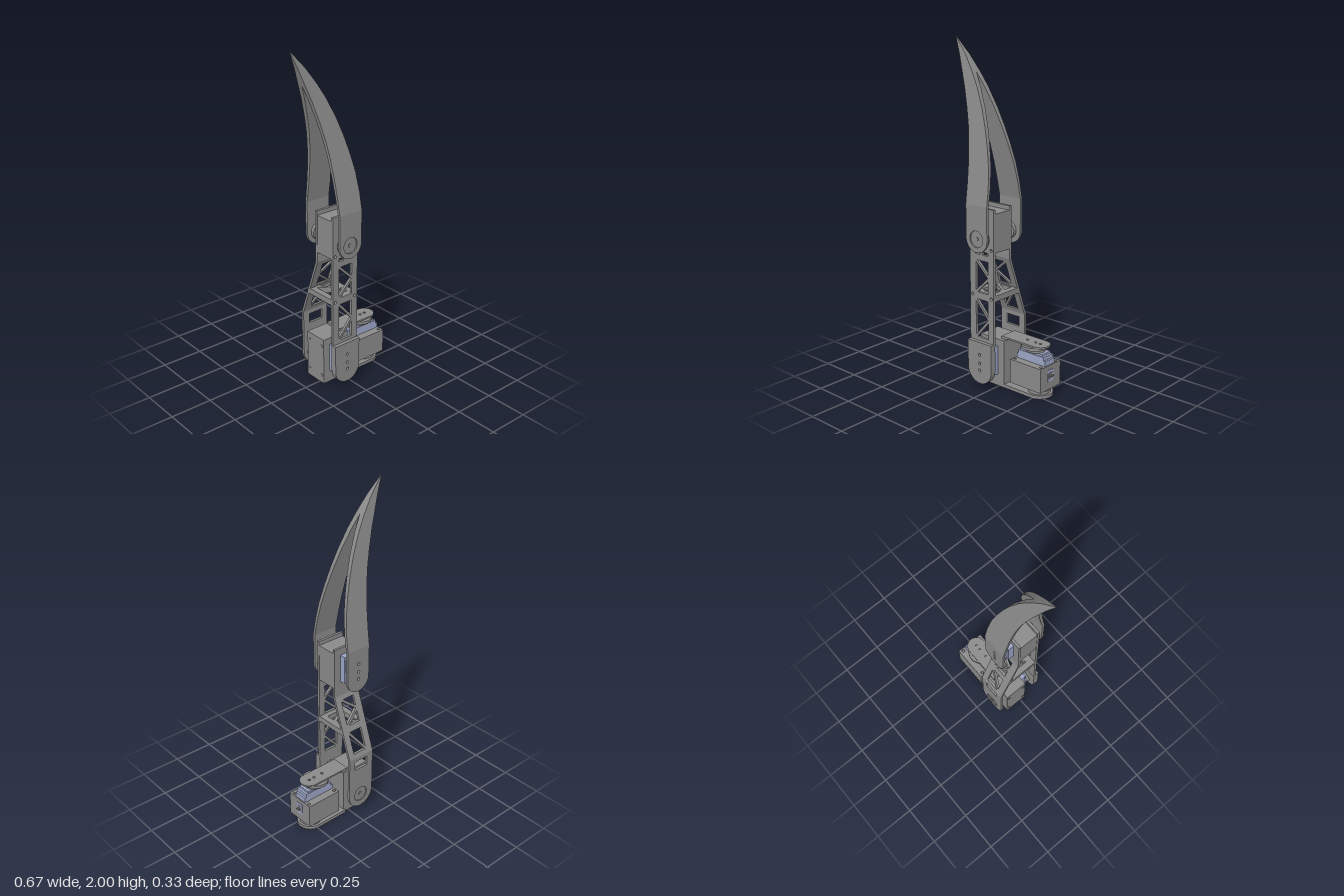
import * as THREE from 'three';
import { toCreasedNormals } from 'three/addons/utils/BufferGeometryUtils.js';

const grey = new THREE.MeshStandardMaterial({ color: 0x8a8a8a });
grey.name = 'printed grey';
const blue = new THREE.MeshStandardMaterial({ color: 0x9ca5c6 });
blue.name = 'servo blue';

const XL = -0.143, XR = 0.036, AX = -0.053; // leg edges and joint axis

export function createModel() {
  const root = new THREE.Group();

  function add(name, geo, mat = grey, parent = root) {
    const m = new THREE.Mesh(geo, mat);
    m.name = name;
    parent.add(m);
    return m;
  }
  // box given by its limits
  function box(name, x0, x1, y0, y1, z0, z1, mat) {
    const g = new THREE.BoxGeometry(x1 - x0, y1 - y0, z1 - z0);
    g.translate((x0 + x1) / 2, (y0 + y1) / 2, (z0 + z1) / 2);
    return add(name, g, mat);
  }
  // disc along z or y
  function discZ(name, x, y, z0, z1, r, mat) {
    const g = new THREE.CylinderGeometry(r, r, z1 - z0, 32).rotateX(Math.PI / 2);
    return add(name, g.translate(x, y, (z0 + z1) / 2), mat);
  }
  function discY(name, x, z, y0, y1, r, mat) {
    return add(name, new THREE.CylinderGeometry(r, r, y1 - y0, 32).translate(x, (y0 + y1) / 2, z), mat);
  }
  const poly = pts => pts.map(p => new THREE.Vector2(...p));
  const rect = (x0, x1, y0, y1) => poly([[x0, y0], [x1, y0], [x1, y1], [x0, y1]]);
  const circle = (x, y, r) => new THREE.Path().absarc(x, y, r, 0, Math.PI * 2, true);
  // plate with a rounded lower end
  function tongue(x0, x1, yEnd, yTop) {
    const r = (x1 - x0) / 2, s = new THREE.Shape();
    s.moveTo(x1, yTop).lineTo(x0, yTop).lineTo(x0, yEnd + r);
    s.absarc(x0 + r, yEnd + r, r, Math.PI, Math.PI * 2, false);
    return s;
  }
  function extrude(shape, holes, z0, z1) {
    shape.holes.push(...holes);
    return new THREE.ExtrudeGeometry(shape, { depth: z1 - z0, bevelEnabled: false, curveSegments: 20 }).translate(0, 0, z0);
  }
  // triangular openings left between zigzag bars
  function truss(x0, x1, y0, y1, n, bar, flip = false) {
    const h = (y1 - y0) / n, a = flip ? x1 : x0, b = flip ? x0 : x1;
    const p = [[b, y0]];
    for (let i = 0; i <= n; i++) p.push([i % 2 ? b : a, y0 + i * h]);
    p.push([n % 2 ? a : b, y1]);
    const holes = [];
    for (let i = 0; i + 2 < p.length; i++) {
      const t = poly(p.slice(i, i + 3));
      const l = [t[1].distanceTo(t[2]), t[0].distanceTo(t[2]), t[0].distanceTo(t[1])];
      const per = l[0] + l[1] + l[2];
      const c = new THREE.Vector2();
      t.forEach((v, k) => c.addScaledVector(v, l[k] / per));
      const area = Math.abs(t[1].clone().sub(t[0]).cross(t[2].clone().sub(t[0]))) / 2;
      const k = 1 - bar / (2 * area / per);
      holes.push(new THREE.Path(t.map(v => v.clone().sub(c).multiplyScalar(k).add(c))));
    }
    return holes;
  }
  const path = pts => new THREE.Path(pts);

  // --- curved claw: two sheared blades meeting at the tip ---
  const rows = [[1.1, -0.13, 0.027], [1.2, -0.133, 0.024], [1.31, -0.14, 0.011], [1.42, -0.153, -0.015],
    [1.52, -0.17, -0.045], [1.62, -0.196, -0.082], [1.73, -0.23, -0.134], [1.81, -0.26, -0.182],
    [1.9, -0.293, -0.246], [2.0, -0.336, -0.336]];
  const MID = 0.017;
  for (const side of [1, -1]) {
    const pos = [], idx = [];
    rows.forEach(([y, l, r]) => {
      const zo = MID + side * 0.148 * (2 - y) / 0.9;
      const zi = MID + side * 0.133 * Math.max(0, 1.81 - y) / 0.71;
      pos.push(l, y, zo, r, y, zo, r, y, zi, l, y, zi);
    });
    for (let i = 0; i < rows.length - 1; i++) for (let k = 0; k < 4; k++) {
      const a = i * 4 + k, b = i * 4 + (k + 1) % 4, c = b + 4, d = a + 4;
      if (side > 0) idx.push(a, b, c, a, c, d);
      else idx.push(a, c, b, a, d, c);
    }
    const g = new THREE.BufferGeometry();
    g.setAttribute('position', new THREE.Float32BufferAttribute(pos, 3));
    g.setIndex(idx);
    add(side > 0 ? 'frontBlade' : 'backBlade', toCreasedNormals(g, 0.5));
    const holes = side > 0 ? [circle(AX, 0.908, 0.048)] : [0.908, 0.955, 1.005].map(y => circle(AX, y, 0.009));
    const z = [MID + side * 0.133, MID + side * 0.148].sort((a, b) => a - b);
    add(side > 0 ? 'frontBladeRoot' : 'backBladeRoot', extrude(tongue(-0.13, 0.027, 0.83, 1.1), holes, ...z));
  }

  // --- upper joint ---
  box('upperServoCase', XL + 0.002, XR - 0.002, 0.83, 1.055, -0.014, 0.106);
  box('upperServo', -0.1, -0.006, 0.865, 1.035, -0.066, -0.03, blue);
  box('upperServoLid', -0.095, -0.011, 0.88, 1.015, -0.08, -0.066, blue);
  discZ('upperServoShaft', AX, 0.908, -0.095, -0.08, 0.025, blue);
  discZ('upperServoHorn', AX, 0.908, -0.116, -0.095, 0.05);
  discZ('upperPivotDisc', AX, 0.908, 0.128, 0.15, 0.065);
  discZ('upperPivotHub', AX, 0.908, 0.118, 0.158, 0.047);
  discZ('upperPivotPin', AX, 0.908, 0.158, 0.163, 0.011);

  // --- leg: straight front plate ---
  const frontHoles = [
    ...truss(-0.105, 0.002, 0.305, 0.548, 2, 0.007), ...truss(-0.105, 0.002, 0.576, 0.78, 2, 0.007),
    path(rect(-0.1, -0.065, 0.808, 0.826)), path(rect(-0.045, -0.004, 0.808, 0.826)),
    ...[0.562, 0.845].flatMap(y => [circle(-0.125, y, 0.009), circle(0.018, y, 0.009)])];
  add('legFrontPlate', extrude(new THREE.Shape(rect(XL, XR, 0.28, 1.08)), frontHoles, 0.105, 0.121));
  const ankleHoles = [0.117, 0.16, 0.213].map(y => circle(AX, y, 0.009));
  add('ankleFrontPlate', extrude(tongue(XL, XR, 0.037, 0.29), ankleHoles, 0.108, 0.144));

  // --- leg: bent back plate in three stretches ---
  add('legBackUpper', extrude(new THREE.Shape(rect(XL, XR, 0.77, 1.08)), [], -0.03, -0.014));
  const slant = extrude(new THREE.Shape(rect(XL, XR, 0.4, 0.77)),
    [...truss(-0.105, 0.002, 0.42, 0.56, 1, 0.007), ...truss(-0.105, 0.002, 0.585, 0.75, 2, 0.007, true)], -0.03, -0.014);
  const sp = slant.attributes.position;
  for (let i = 0; i < sp.count; i++) sp.setZ(i, sp.getZ(i) - 0.133 * (0.77 - sp.getY(i)) / 0.37);
  slant.computeVertexNormals();
  add('legBackSlant', slant);
  add('legBackLower', extrude(tongue(XL, XR, 0.037, 0.4),
    [path(rect(-0.1, -0.004, 0.315, 0.375)), circle(AX, 0.122, 0.048)], -0.163, -0.147));
  // cross shelf joining both plates
  const shelf = extrude(new THREE.Shape(rect(XL, XR, -0.105, 0.098)), truss(-0.115, 0.008, -0.085, 0.08, 2, 0.009), 0, 0.034);
  add('legShelf', shelf.rotateX(-Math.PI / 2).translate(0, 0.546, 0));

  // --- lower joint ---
  box('ankleCase', XL, XR + 0.002, 0, 0.29, -0.112, 0.036);
  box('ankleServo', -0.1, -0.006, 0.075, 0.25, 0.036, 0.073, blue);
  box('ankleServoLid', -0.095, -0.011, 0.09, 0.235, 0.073, 0.086, blue);
  discZ('ankleServoHorn', AX, 0.122, 0.086, 0.108, 0.05);
  discZ('anklePivotDisc', AX, 0.122, -0.147, -0.132, 0.065);
  discZ('anklePivotHub', AX, 0.122, -0.157, -0.11, 0.047);
  discZ('anklePivotPin', AX, 0.122, -0.162, -0.157, 0.011);

  // --- arms reaching to the side servo ---
  const CZ = -0.044;
  function arm(name, half, xEnd, y0, y1, holes) {
    const r = half, s = new THREE.Shape();
    s.moveTo(0.03, half).lineTo(0.03, -half).lineTo(xEnd - r, -half);
    s.absarc(xEnd - r, 0, r, -Math.PI / 2, Math.PI / 2, false);
    const g = extrude(s, holes, 0, y1 - y0);
    add(name, g.rotateX(-Math.PI / 2).translate(0, y0, CZ));
  }
  box('armMount', 0.0, 0.04, 0.285, 0.305, CZ - 0.057, CZ + 0.057);
  arm('upperArm', 0.057, 0.3, 0.295, 0.305, [0.148, 0.208, 0.243].map(x => circle(x, 0, 0.008)));
  arm('lowerArm', 0.079, 0.318, 0, 0.02, [circle(0.239, 0, 0.045)]);

  // --- side servo ---
  const corners = [0.11, 0.301].flatMap(x => [-0.065, 0.065].map(z => circle(x, z, 0.009)));
  const slot = path(rect(0.285, 0.312, -0.042, 0.042));
  const caseGeo = extrude(new THREE.Shape(rect(0.094, 0.318, -0.089, 0.089)), [...corners, slot], 0, 0.145);
  add('sideServoCase', caseGeo.rotateX(-Math.PI / 2).translate(0, 0.053, CZ));
  box('sideServo', 0.104, 0.312, 0.19, 0.228, CZ - 0.042, CZ + 0.042, blue);
  box('sideServoTop', 0.116, 0.3, 0.228, 0.25, CZ - 0.042, CZ + 0.042, blue);
  box('sideServoLid', 0.128, 0.285, 0.25, 0.262, CZ - 0.038, CZ + 0.038, blue);
  discY('sideServoHorn', 0.208, CZ, 0.262, 0.28, 0.06);
  discY('sideServoHornCap', 0.2, CZ, 0.278, 0.296, 0.078);
  discY('sidePivotDisc', 0.239, CZ, 0.02, 0.038, 0.065);
  discY('sidePivotHub', 0.239, CZ, 0.006, 0.054, 0.045);
  box('sideServoWindow', 0.316, 0.32, 0.1, 0.172, CZ - 0.024, CZ + 0.024, blue);
  box('sideServoPlugFrame', 0.318, 0.322, 0.118, 0.154, CZ - 0.014, CZ + 0.014);
  for (const dz of [-0.008, 0, 0.008]) box('sideServoPin', 0.315, 0.336, 0.133, 0.139, CZ + dz - 0.003, CZ + dz + 0.003);

  // --- screw heads on the case sides ---
  for (const y of [0.05, 0.245]) for (const z of [-0.095, 0.018]) {
    const g = new THREE.CylinderGeometry(0.009, 0.009, 0.004, 6).rotateZ(Math.PI / 2);
    add('caseScrew', g.translate(XL - 0.001, y, z));
  }
  return root;
}
